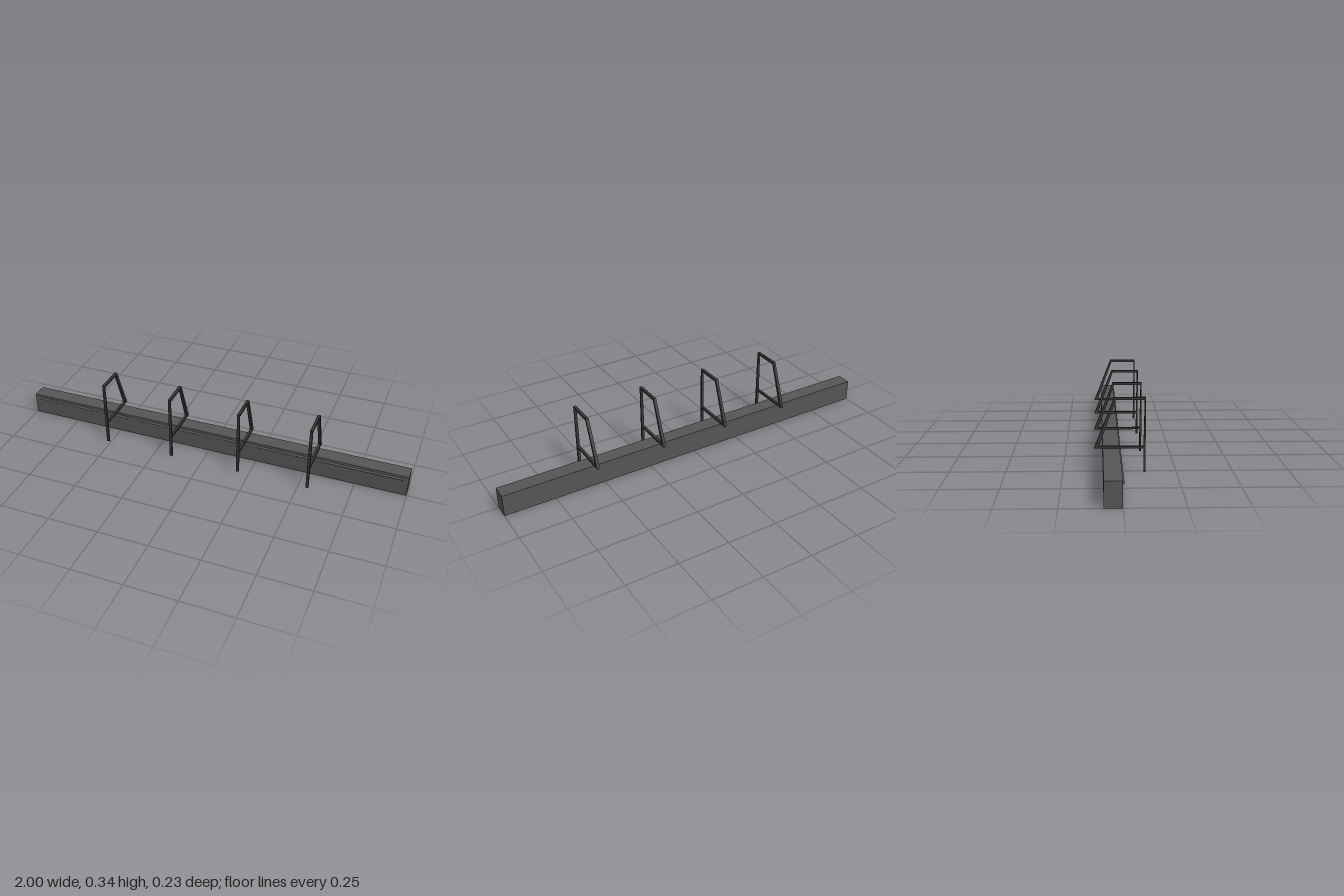
import * as THREE from 'three';

export function createModel() {
  const model = new THREE.Group();
  const beamMat = new THREE.MeshStandardMaterial({ color: 0x555555 });
  const frameMat = new THREE.MeshStandardMaterial({ color: 0x333333 });

  // Long kerb-like beam
  const beam = new THREE.Mesh(new THREE.BoxGeometry(2, 0.109, 0.074), beamMat);
  beam.name = 'beam';
  beam.position.set(0, 0.0545, -0.037);
  model.add(beam);

  // Thin rail along the front of the beam
  const rail = new THREE.Mesh(new THREE.CylinderGeometry(0.006, 0.006, 1.94, 16), beamMat);
  rail.name = 'frontRail';
  rail.rotation.z = Math.PI / 2;
  rail.position.set(0.003, 0.09, 0.0005);
  model.add(rail);

  // Frame outline, drawn as (z, y): leg, top bar, sloping back and lower bar
  const points = (list) => list.map(([z, y]) => new THREE.Vector2(z, y));
  const outline = new THREE.Shape(points([
    [0.105, 0], [0.114, 0], [0.114, 0.336], [-0.023, 0.336],
    [-0.112, 0.109], [0.105, 0.109],
  ]));
  outline.holes.push(new THREE.Path(points([
    [0.105, 0.118], [-0.091, 0.118], [-0.016, 0.325], [0.109, 0.325],
  ])));
  const width = 0.014;
  const frameGeo = new THREE.ExtrudeGeometry(outline, { depth: width, bevelEnabled: false });
  frameGeo.translate(0, 0, -width / 2);
  frameGeo.rotateY(-Math.PI / 2); // shape x becomes z

  // Four evenly spaced frames
  for (let i = 0; i < 4; i++) {
    const frame = new THREE.Mesh(frameGeo, frameMat);
    frame.name = `standFrame${i + 1}`;
    frame.position.x = -0.516 + i * 0.3535;
    model.add(frame);
  }
  return model;
}
